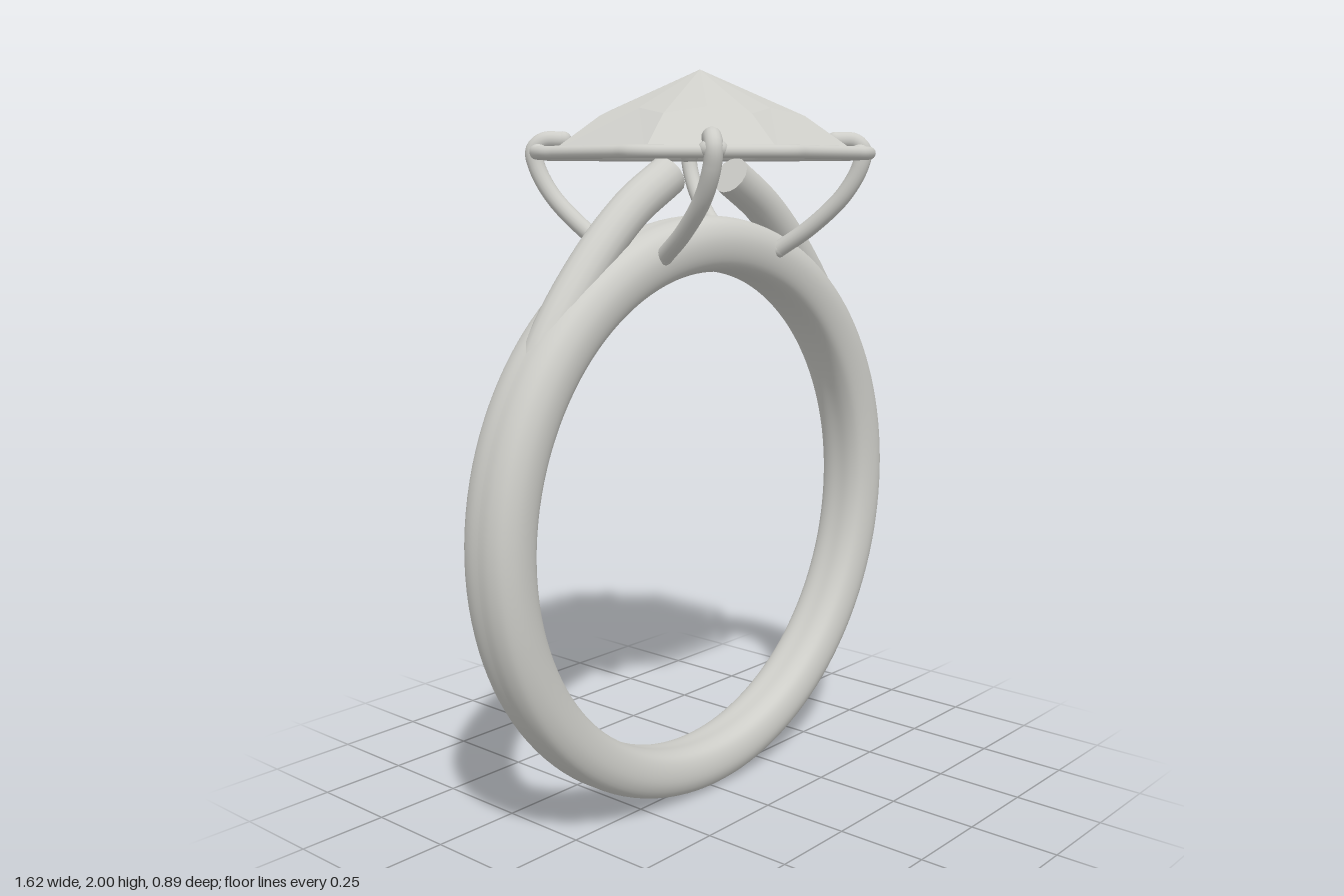
import * as THREE from 'three';

const V = (x, y, z) => new THREE.Vector3(x, y, z);

export function createModel() {
  const model = new THREE.Group();
  model.name = 'ring';
  const silver = new THREE.MeshStandardMaterial({ color: 0xcdcdc8 });
  silver.name = 'pale silver';

  const add = (name, geometry, parent = model) => {
    const mesh = new THREE.Mesh(geometry, silver);
    mesh.name = name;
    parent.add(mesh);
    return mesh;
  };
  const tube = (points, radius, closed = false, segments = 40) =>
    new THREE.TubeGeometry(new THREE.CatmullRomCurve3(points, closed), segments, radius, 16, closed);

  // Band: comfort-fit profile turned round the finger axis
  const half = [[0.808, 0], [0.807, 0.035], [0.793, 0.068], [0.758, 0.087],
    [0.715, 0.086], [0.682, 0.07], [0.668, 0.04], [0.667, 0]];
  const outline = [...half, ...half.slice(1, -1).reverse().map(([r, z]) => [r, -z])];
  const profile = new THREE.CatmullRomCurve3(outline.map(([r, z]) => V(r, z, 0)), true)
    .getPoints(56).map((p) => new THREE.Vector2(p.x, p.y));
  const band = new THREE.LatheGeometry(profile, 128);
  band.rotateX(Math.PI / 2);
  // Slightly slimmer and narrower towards the bottom
  const pos = band.attributes.position;
  for (let i = 0; i < pos.count; i++) {
    const x = pos.getX(i), y = pos.getY(i);
    const inward = (0.808 - Math.hypot(x, y)) / 0.141;
    pos.setY(i, y + 0.81 - 0.008 * inward);
    pos.setZ(i, pos.getZ(i) * (0.98 + 0.07 * y));
  }
  add('band', band);

  // Shoulders: bars that leave the band and rise under the stone
  for (const s of [-1, 1]) {
    const path = [[0.705, 0.98], [0.66, 1.13], [0.57, 1.315], [0.42, 1.505], [0.27, 1.64], [0.128, 1.725]]
      .map(([x, y]) => V(s * x, y, 0));
    const shoulder = new THREE.Group();
    shoulder.name = s > 0 ? 'leftShoulder' : 'rightShoulder';
    model.add(shoulder);
    add('shoulderBar', tube(path, 0.054), shoulder);
    const tip = path[path.length - 1];
    const cap = add('shoulderEnd', new THREE.CircleGeometry(0.054, 16), shoulder);
    const tangent = new THREE.CatmullRomCurve3(path).getTangent(1);
    cap.position.copy(tip);
    cap.lookAt(tip.clone().add(tangent));
  }

  // Octagonal wire gallery with softened corners
  const corners = [];
  for (let i = 0; i < 8; i++) {
    const a = Math.PI / 8 + i * Math.PI / 4;
    corners.push(V(Math.cos(a) * 0.464, 1.781, Math.sin(a) * 0.464));
  }
  const wire = [];
  corners.forEach((c, i) => {
    const next = corners[(i + 1) % 8];
    for (const t of [0.07, 0.2, 0.5, 0.8, 0.93]) wire.push(c.clone().lerp(next, t));
  });
  add('galleryWire', tube(wire, 0.0165, true, 240));

  // Four prongs, hooked over the stone
  for (const sx of [-1, 1]) for (const sz of [-1, 1]) {
    const prong = new THREE.Group();
    prong.name = (sz > 0 ? 'front' : 'back') + (sx > 0 ? 'Left' : 'Right') + 'Prong';
    model.add(prong);
    const path = [[0.237, 1.522, 0.085], [0.264, 1.585, 0.175], [0.292, 1.67, 0.262], [0.308, 1.745, 0.304],
      [0.311, 1.79, 0.312], [0.294, 1.814, 0.293], [0.257, 1.816, 0.257]]
      .map(([x, y, z]) => V(sx * x, y, sz * z));
    add('prongWire', tube(path, 0.023, false, 48), prong);
    for (const end of [path[0], path[path.length - 1]]) {
      add('prongTip', new THREE.SphereGeometry(0.0235, 16, 12), prong).position.copy(end);
    }
    // Small solder bead where the prong crosses the wire
    const bead = add('prongBead', new THREE.SphereGeometry(0.028, 16, 12), prong);
    bead.position.set(sx * 0.303, 1.786, sz * 0.303);
    bead.rotation.y = sx * sz * Math.PI / 4;
    bead.scale.set(1.35, 0.9, 1);
  }

  // Stone: flat-backed eight-sided cut with kite facets up to a point
  const ring = (radius, y, step) => {
    const a = step * Math.PI / 8;
    return V(Math.sin(a) * radius, y, Math.cos(a) * radius);
  };
  const tris = [];
  const face = (...p) => {
    for (let k = 1; k < p.length - 1; k++) tris.push(p[0], p[k], p[k + 1]);
  };
  const apex = V(0, 2, 0), base = V(0, 1.785, 0);
  for (let i = 0; i < 16; i += 2) {
    const g0 = ring(0.422, 1.785, i - 1), g1 = ring(0.422, 1.785, i + 1);
    const c0 = ring(0.288, 1.876, i - 1), c1 = ring(0.288, 1.876, i + 1);
    const mid = ring(0.237, 1.894, i);
    face(mid, c0, g0, g1, c1);
    face(apex, c0, mid);
    face(apex, mid, c1);
    face(base, g1, g0);
  }
  const stone = new THREE.BufferGeometry().setFromPoints(tris);
  stone.computeVertexNormals();
  add('stone', stone);

  return model;
}
